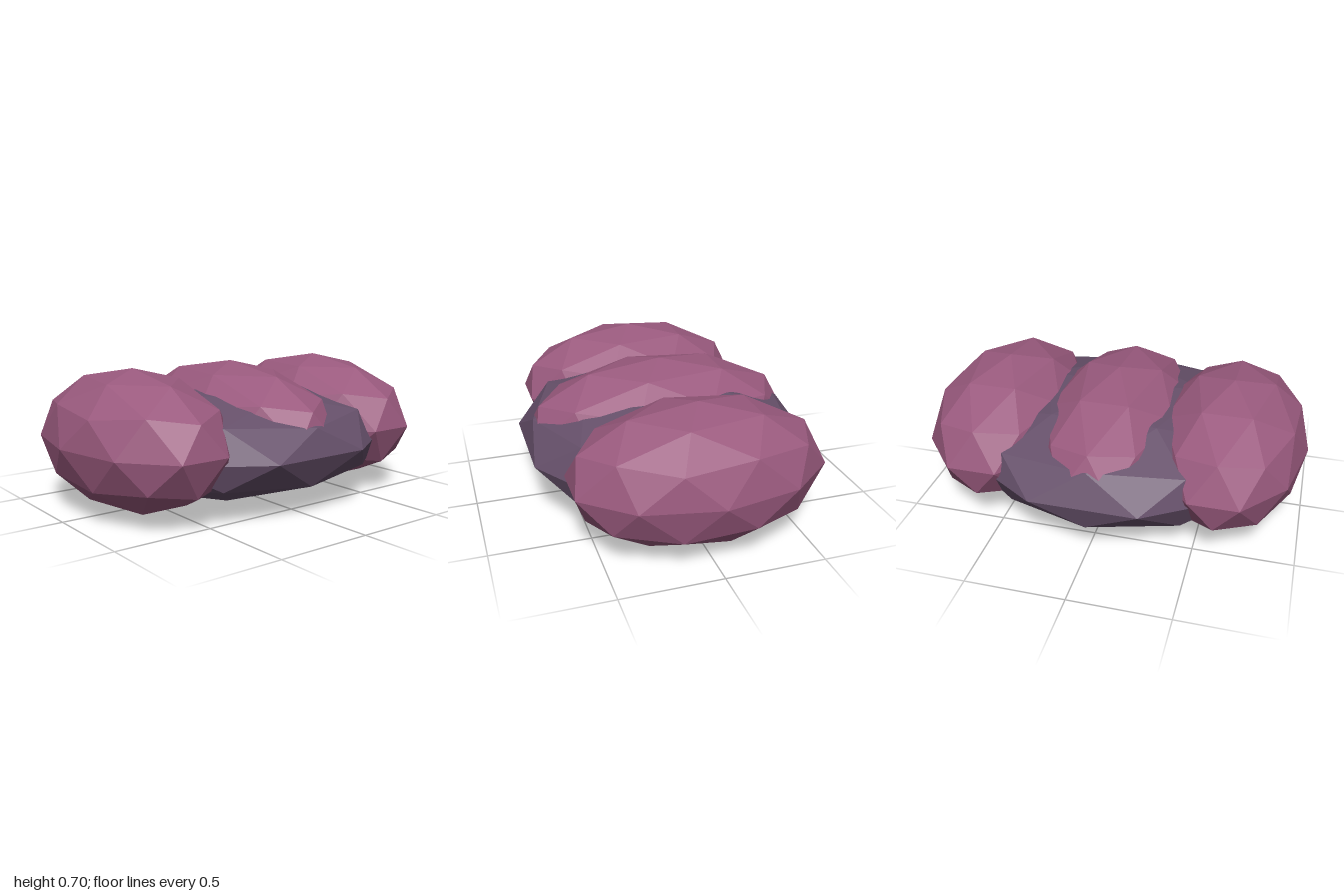
import * as THREE from 'three';

const pink = new THREE.MeshStandardMaterial({ color: 0x9a5a7e, flatShading: true });
pink.name = 'dusty pink';
const plum = new THREE.MeshStandardMaterial({ color: 0x66506a, flatShading: true });
plum.name = 'dark plum';

// Faceted ellipsoid with a vertex at its top and bottom
function lobe(name, material, radii, centre) {
  const geometry = new THREE.IcosahedronGeometry(1, 1);
  geometry.rotateZ(-Math.atan(2 / (1 + Math.sqrt(5))));
  geometry.scale(...radii);
  geometry.computeVertexNormals();
  const mesh = new THREE.Mesh(geometry, material);
  mesh.name = name;
  mesh.position.set(...centre);
  return mesh;
}

export function createModel() {
  const model = new THREE.Group();
  model.name = 'segmentedBody';

  // Dark core running through the segments
  model.add(lobe('core', plum, [0.757, 0.3, 0.87], [0, 0.306, 0]));

  // Three pink segments, the middle one wider
  model.add(lobe('frontSegment', pink, [0.645, 0.352, 0.4], [0, 0.352, 0.6]));
  model.add(lobe('middleSegment', pink, [0.72, 0.352, 0.4], [0, 0.352, 0]));
  model.add(lobe('rearSegment', pink, [0.645, 0.352, 0.4], [0, 0.352, -0.6]));

  return model;
}
